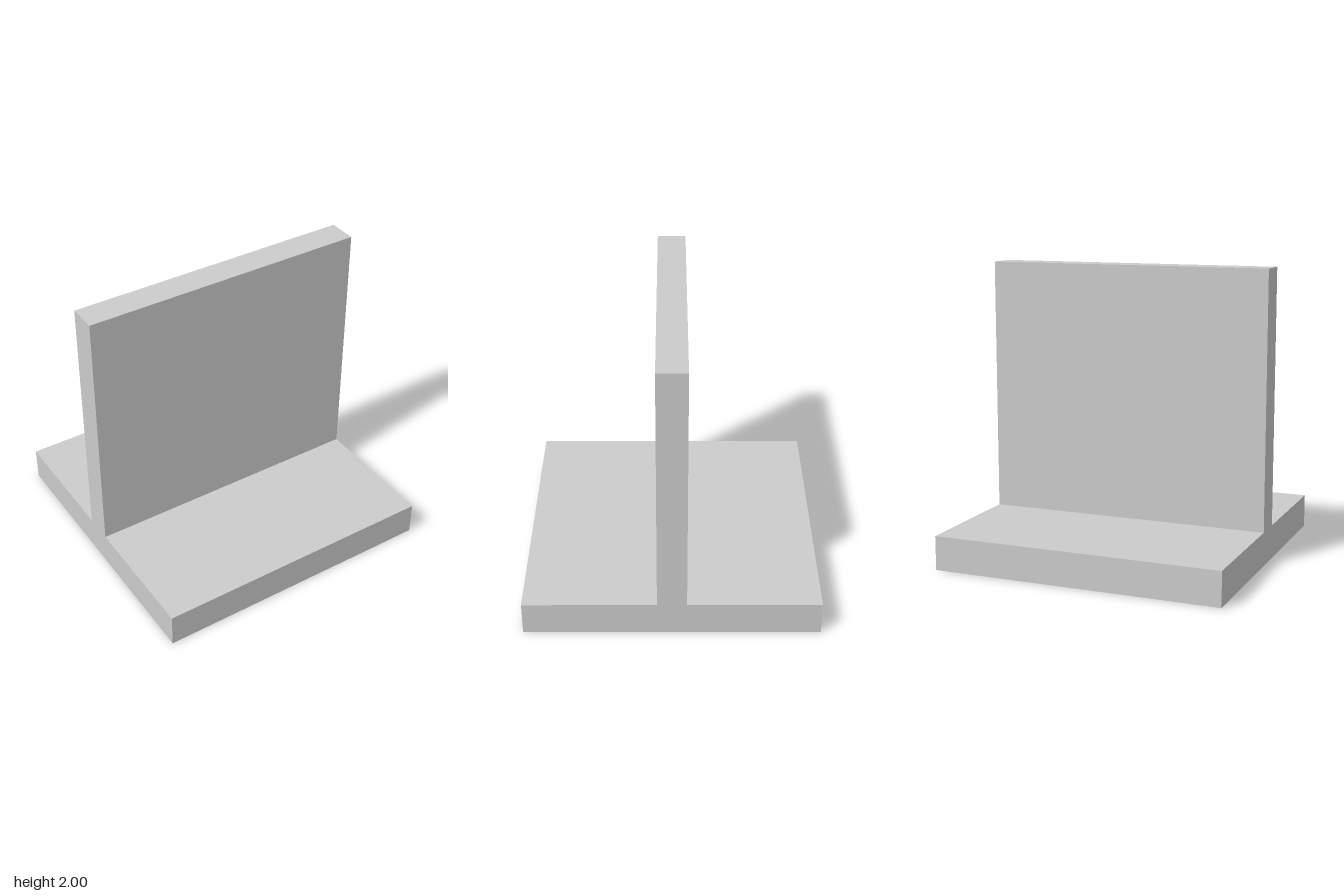
import * as THREE from 'three';

export function createModel() {
  const group = new THREE.Group();
  group.name = 'teeSection';

  const length = 2, height = 2;
  const halfFlange = 1, flangeHeight = 0.235, halfWeb = 0.1;

  // Inverted T profile: half outline, mirrored to the other side
  const half = [
    [halfFlange, 0],
    [halfFlange, flangeHeight],
    [halfWeb, flangeHeight],
    [halfWeb, height],
  ];
  const outline = [...half, ...half.map(([x, y]) => [-x, y]).reverse()];
  const profile = new THREE.Shape(outline.map(([x, y]) => new THREE.Vector2(x, y)));

  // Run the profile along x, centred
  const geometry = new THREE.ExtrudeGeometry(profile, { depth: length, bevelEnabled: false });
  geometry.translate(0, 0, -length / 2);
  geometry.rotateY(Math.PI / 2);

  const beam = new THREE.Mesh(geometry, new THREE.MeshStandardMaterial({ color: 0xcccccc }));
  beam.name = 'flangeAndWeb';
  group.add(beam);
  return group;
}
